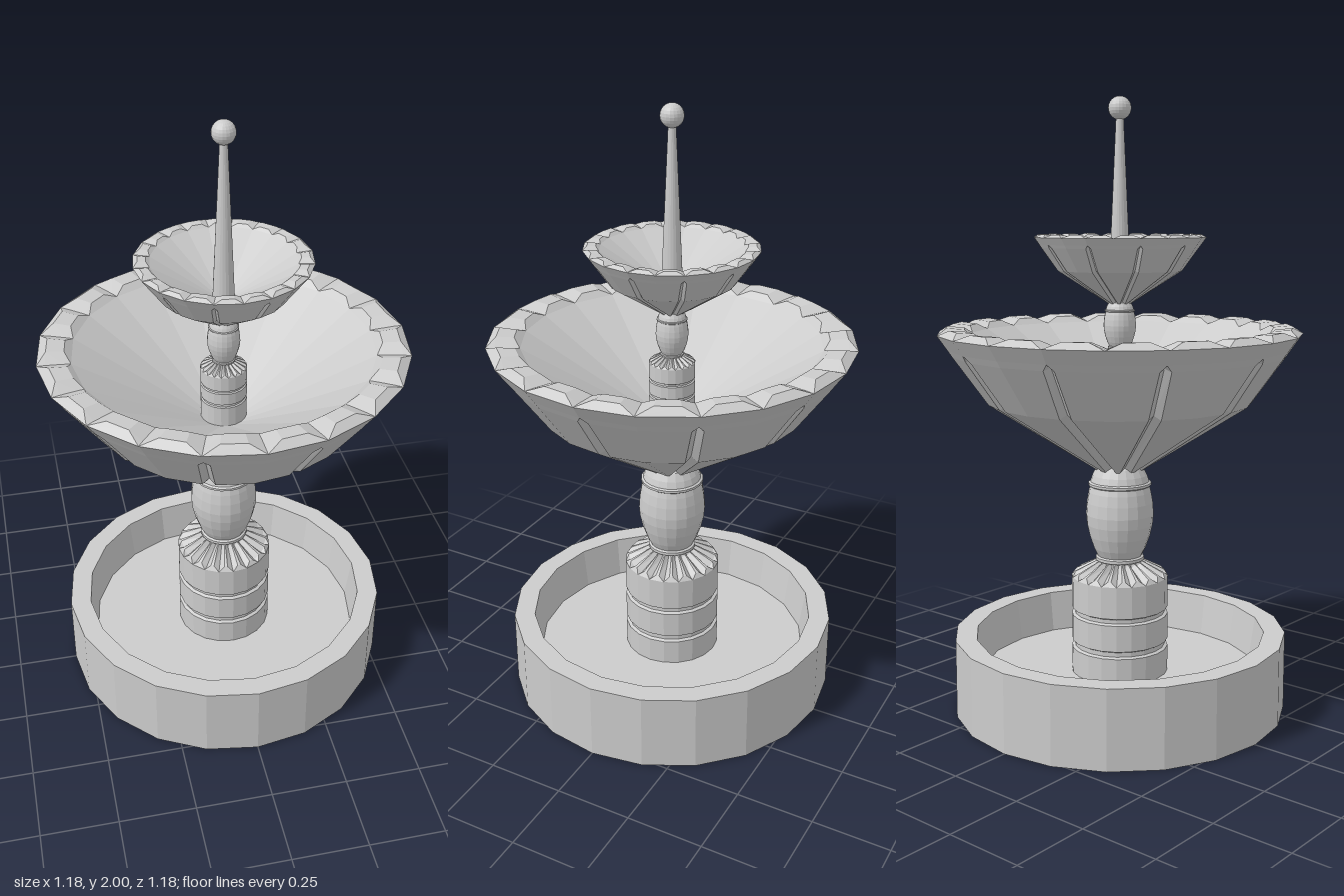
import * as THREE from 'three';

const SIDES = 20;
const stone = new THREE.MeshStandardMaterial({ color: 0xcccccc, flatShading: true });

function part(name, geometry, y = 0) {
  const mesh = new THREE.Mesh(geometry, stone);
  mesh.name = name;
  mesh.position.y = y;
  return mesh;
}

function lathe(points) {
  return new THREE.LatheGeometry(points.map(([r, y]) => new THREE.Vector2(r, y)), SIDES);
}

// Skins 20-sided rings from bottom to top. Each ring is
// [radius, y, groove half-width, groove shift in r, groove shift in y, every n-th corner]
function groovedSolid(rings) {
  const corner = (r, y, k) => {
    const a = (k / SIDES) * Math.PI * 2;
    return new THREE.Vector3(Math.cos(a) * r, y, Math.sin(a) * r);
  };
  const loops = rings.map(([r, y, w = 0, dr = 0, dy = 0, every = 1]) => {
    const loop = [];
    for (let k = 0; k < SIDES; k++) {
      const cut = w > 0 && k % every === 0;
      const c = corner(r, y, k);
      const toward = (n) => {
        const dir = corner(r, y, n).sub(c);
        return cut ? c.clone().addScaledVector(dir.normalize(), w) : c.clone();
      };
      loop.push(toward(k - 1), cut ? corner(r + dr, y + dy, k) : c, toward(k + 1));
    }
    return loop;
  });
  const pos = [];
  const tri = (a, b, c) => {
    const area = b.clone().sub(a).cross(c.clone().sub(a)).length();
    if (area > 1e-9) for (const p of [a, b, c]) pos.push(p.x, p.y, p.z);
  };
  for (let i = 0; i < loops.length - 1; i++) {
    const lo = loops[i], hi = loops[i + 1], n = lo.length;
    for (let j = 0; j < n; j++) {
      const m = (j + 1) % n;
      tri(lo[j], hi[j], lo[m]);
      tri(lo[m], hi[j], hi[m]);
    }
  }
  const g = new THREE.BufferGeometry();
  g.setAttribute('position', new THREE.Float32BufferAttribute(pos, 3));
  g.computeVertexNormals();
  return g;
}

// One tier: banded drum with fluted shoulder, vase and fluted bowl
function createTier(name) {
  const tier = new THREE.Group();
  tier.name = name;

  tier.add(part('drum', groovedSolid([
    [0, 0.01], [0.16, 0.01],
    [0.16, 0.205], [0.15, 0.21], [0.15, 0.225], [0.16, 0.23],
    [0.16, 0.317], [0.15, 0.322], [0.15, 0.335], [0.16, 0.34],
    [0.16, 0.445],
    [0.15, 0.46, 0.018, -0.008, -0.014],
    [0.08, 0.495, 0.011, -0.008, -0.012],
    [0.065, 0.5], [0, 0.5],
  ])));

  tier.add(part('vase', lathe([
    [0.07, 0.495], [0.08, 0.5], [0.08, 0.51], [0.073, 0.514],
    [0.086, 0.54], [0.1, 0.58], [0.109, 0.62], [0.112, 0.655],
    [0.109, 0.695], [0.103, 0.73], [0.098, 0.748],
    [0.104, 0.752], [0.104, 0.76], [0.097, 0.764],
    [0.09, 0.785], [0.076, 0.812], [0.06, 0.82],
  ])));

  tier.add(part('bowl', groovedSolid([
    // outer wall with ten flutes
    [0, 0.79], [0.065, 0.795, 0.018, -0.012, 0.015, 2],
    [0.43, 1.03, 0.02, -0.016, 0.014, 2],
    [0.543, 1.187, 0.018, -0.018, 0.01, 2],
    [0.557, 1.208], [0.59, 1.255],
    // notched rim
    [0.562, 1.275, 0.048, 0, -0.02],
    [0.505, 1.27, 0.045, 0, -0.018],
    [0.482, 1.25],
    // inside
    [0, 0.95],
  ])));
  return tier;
}

export function createModel() {
  const model = new THREE.Group();
  model.name = 'fountain';

  model.add(part('basin', lathe([
    [0, 0], [0.55, 0], [0.55, 0.257], [0.48, 0.257], [0.46, 0.12], [0, 0.12],
  ])));

  model.add(createTier('lowerTier'));

  // The upper tier is a smaller copy standing in the lower bowl
  const upper = createTier('upperTier');
  upper.scale.setScalar(0.47);
  upper.position.y = 1.35 - 0.81 * 0.47;
  model.add(upper);

  model.add(part('spire', new THREE.CylinderGeometry(0.012, 0.036, 0.54, SIDES), 1.67));
  model.add(part('finial', new THREE.SphereGeometry(0.037, SIDES, 12), 1.963));
  return model;
}
